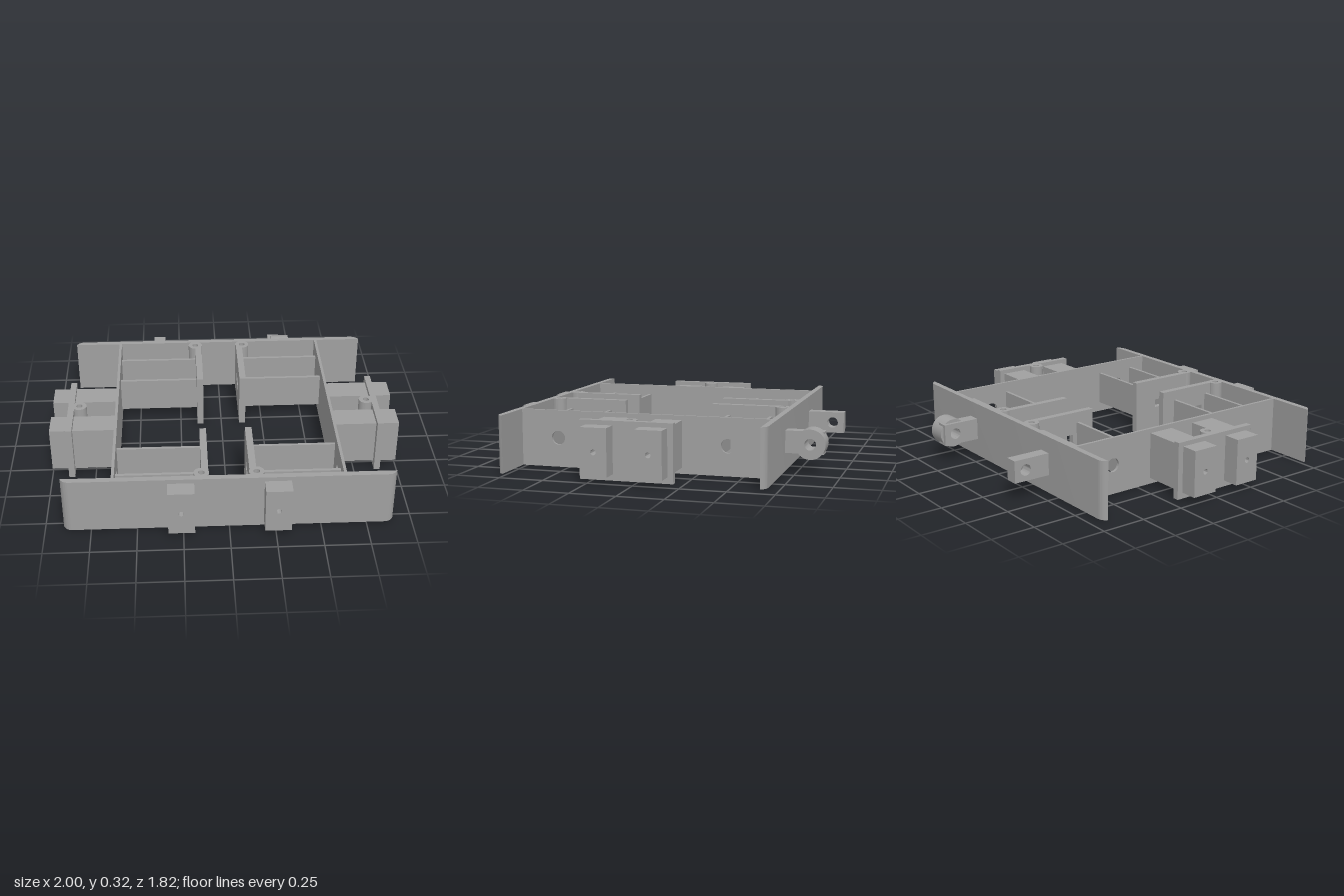
import * as THREE from 'three';
import { toCreasedNormals } from 'three/addons/utils/BufferGeometryUtils.js';

const H = 0.32;      // frame height
const MID = 0.165;   // height of the hole centres

export function createModel() {
  const model = new THREE.Group();
  model.name = 'chassisFrame';
  const grey = new THREE.MeshStandardMaterial({ color: 0xa0a0a0 });
  grey.name = 'grey';

  const add = (name, geo) => {
    const mesh = new THREE.Mesh(geo, grey);
    mesh.name = name;
    model.add(mesh);
    return mesh;
  };

  // box from its extents; x may be given mirrored
  const box = (name, x0, x1, y0, y1, z0, z1) => {
    const geo = new THREE.BoxGeometry(Math.abs(x1 - x0), y1 - y0, z1 - z0);
    geo.translate((x0 + x1) / 2, (y0 + y1) / 2, (z0 + z1) / 2);
    return add(name, geo);
  };

  const rect = (x0, x1, y0, y1, Type = THREE.Shape) => new Type([
    [x0, y0], [x1, y0], [x1, y1], [x0, y1],
  ].map(p => new THREE.Vector2(...p)));

  const circle = (x, y, r, Type = THREE.Path) => {
    const c = new Type();
    c.absarc(x, y, r, 0, Math.PI * 2);
    return c;
  };

  // extrude a shape along an axis; for 'x' the shape is (-z, y), for 'y' it is (x, -z)
  const extrude = (name, shape, axis, from, to) => {
    const lo = Math.min(from, to);
    let geo = new THREE.ExtrudeGeometry(shape, {
      depth: Math.abs(to - from), bevelEnabled: false, curveSegments: 20,
    });
    geo.translate(0, 0, lo);
    if (axis === 'x') geo.rotateY(Math.PI / 2);
    if (axis === 'y') geo.rotateX(-Math.PI / 2);
    geo = toCreasedNormals(geo, 0.6);
    return add(name, geo);
  };

  // upright screw boss with a bore
  const boss = (name, x, z) => {
    const shape = circle(x, -z, 0.042, THREE.Shape);
    shape.holes.push(circle(x, -z, 0.018));
    extrude(name, shape, 'y', 0, H);
  };

  // end plates with rounded outer corners
  const endPlate = (name, zIn, zOut) => {
    const a = -zIn, b = -zOut;
    const s = new THREE.Shape();
    s.moveTo(-0.9, a);
    s.quadraticCurveTo(-0.885, b, -0.85, b);
    s.lineTo(0.85, b);
    s.quadraticCurveTo(0.885, b, 0.9, a);
    s.closePath();
    extrude(name, s, 'y', 0, H);
  };
  endPlate('frontPlate', 0.777, 0.811);
  endPlate('backPlate', -0.65, -0.682);

  for (const s of [-1, 1]) {
    const side = s > 0 ? 'left' : 'right';

    // long side wall with two axle holes
    const wall = rect(-0.78, 0.652, 0, H);
    for (const z of [0.56, -0.415]) wall.holes.push(circle(-z, MID, 0.039));
    extrude(side + 'Wall', wall, 'x', s * 0.614, s * 0.63);

    // side blocks, each with a small blind hole in its outer end
    for (const [z0, z1] of [[-0.16, -0.01], [0.14, 0.288]]) {
      box(side + 'SideBlock', s * 0.63, s * 0.9, 0.035, 0.295, z0, z1);
      const cap = rect(-z1, -z0, 0.035, 0.295);
      cap.holes.push(circle(-(z0 + z1) / 2, MID, 0.015));
      extrude(side + 'SideBlockEnd', cap, 'x', s * 0.9, s);
    }

    // upright side plate across the blocks and its boss
    box(side + 'SidePlate', s * 0.869, s * 0.904, 0, H, -0.192, 0.327);
    boss(side + 'SideBoss', s * 0.84, 0.067);

    // front bumper pad with a small hole
    const pad = rect(s * 0.26 - 0.072, s * 0.26 + 0.072, 0.035, 0.295);
    pad.holes.push(circle(s * 0.26, MID, 0.015));
    extrude(side + 'FrontPad', pad, 'z', 0.811, 0.906);

    // slotted inner plates, one per corner, with a boss at the outer end
    for (const [zFree, zBoss, zSlot] of [[-0.198, -0.615, -0.415], [0.33, 0.75, 0.56]]) {
      const d = Math.sign(zBoss);
      const zEnd = zBoss - d * 0.032;
      const plate = rect(Math.min(-zFree, -zEnd), Math.max(-zFree, -zEnd), 0, H);
      plate.holes.push(rect(-zSlot - 0.08, -zSlot + 0.08, 0.14, 0.19, THREE.Path));
      extrude(side + 'InnerPlate', plate, 'x', s * 0.11, s * 0.148);
      box(side + 'InnerPlateTip', s * 0.11, s * 0.13, 0, H,
        Math.min(zEnd, zBoss), Math.max(zEnd, zBoss));
      boss(side + 'CornerBoss', s * 0.148, zBoss);
    }

    // thin cross ribs between inner plates and walls
    for (const z of [-0.546, -0.301, 0.425, 0.671]) {
      box(side + 'CrossRib', s * 0.148, s * 0.615, 0.06, 0.26, z - 0.009, z + 0.009);
    }

    // rear lug with a cross hole
    const lug = rect(0.68, 0.896, 0.103, 0.228);
    lug.holes.push(circle(0.828, MID, 0.032));
    const x = s > 0 ? 0.335 : -0.412;
    extrude(side + 'RearLug', lug, 'x', x, x + 0.072);
  }

  // ring collar on the left rear lug
  const collar = circle(0.83, MID, 0.083, THREE.Shape);
  collar.holes.push(circle(0.83, MID, 0.032));
  extrude('rearCollar', collar, 'x', 0.355, 0.465);

  return model;
}
